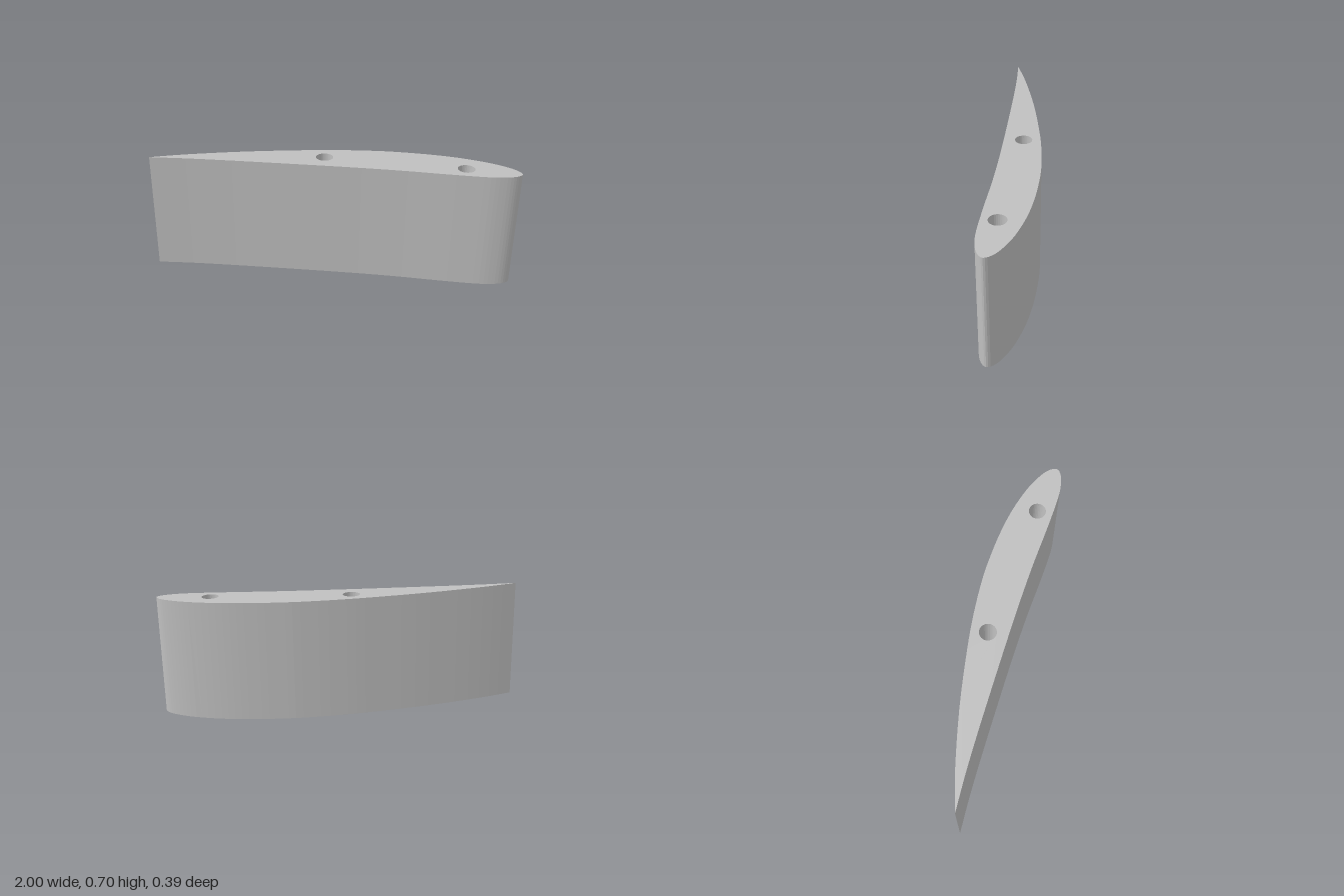
import * as THREE from 'three';

export function createModel() {
  const grey = new THREE.MeshStandardMaterial({ color: 0xc0c0c0 });
  grey.name = 'light grey';

  const span = 0.667;
  const tilt = 0.0165;

  // Wing section as [x, z]: trailing edge, concave side, nose, convex side, trailing edge
  const section = [
    [-0.994, 0.197], [-0.8, 0.166], [-0.6, 0.14], [-0.4, 0.117], [-0.2, 0.095],
    [0, 0.074], [0.2, 0.055], [0.4, 0.04], [0.6, 0.03], [0.8, 0.016],
    [0.9, -0.001], [0.965, -0.027], [0.994, -0.062], [0.965, -0.103], [0.9, -0.137],
    [0.8, -0.168], [0.65, -0.191], [0.5, -0.197], [0.35, -0.191], [0.2, -0.176],
    [0, -0.139], [-0.2, -0.089], [-0.5, 0.001], [-0.8, 0.111], [-0.994, 0.197],
  ].map(([x, z]) => new THREE.Vector2(x, -z));
  const outline = new THREE.SplineCurve(section).getPoints(96);
  outline.pop(); // the last point repeats the first
  const shape = new THREE.Shape(outline);

  // Two round spar holes through the whole span
  for (const [x, z] of [[-0.07, -0.028], [0.699, -0.061]]) {
    const hole = new THREE.Path();
    hole.absarc(x, -z, 0.047, 0, Math.PI * 2, true);
    shape.holes.push(hole);
  }

  const geometry = new THREE.ExtrudeGeometry(shape, {
    depth: span, bevelEnabled: false, curveSegments: 16,
  });
  geometry.translate(0, 0, -span / 2);
  geometry.rotateX(-Math.PI / 2);

  // The section leans slightly, nose down
  const wing = new THREE.Mesh(geometry, grey);
  wing.name = 'wingSection';
  wing.rotation.z = -tilt;
  wing.position.y = 0.35;

  const group = new THREE.Group();
  group.name = 'wing';
  group.add(wing);
  return group;
}
